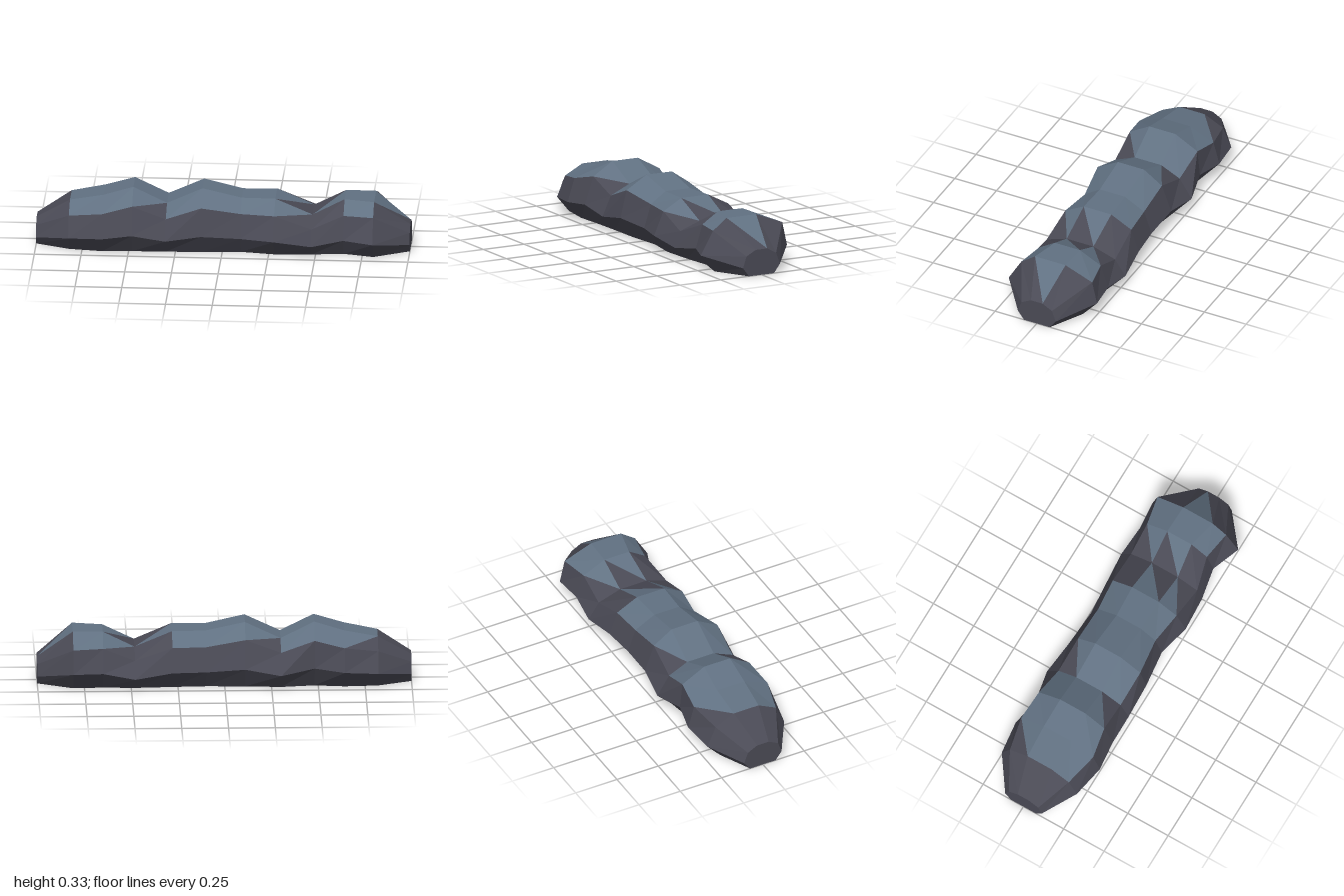
import * as THREE from 'three';

// Ridge stations: x, crest height, crest/shoulder/widest z at front, then at back
const STATIONS = [
  [-1.0, 0.14, 0.035, 0.092, 0.113, -0.035, -0.09, -0.113],
  [-0.82, 0.25, 0.07, 0.175, 0.225, -0.08, -0.19, -0.24],
  [-0.64, 0.285, 0.08, 0.22, 0.262, -0.085, -0.225, -0.26],
  [-0.48, 0.333, 0.078, 0.195, 0.247, -0.078, -0.21, -0.225],
  [-0.3, 0.245, 0.075, 0.19, 0.24, -0.085, -0.195, -0.266],
  [-0.11, 0.333, 0.078, 0.2, 0.237, -0.078, -0.185, -0.24],
  [0.1, 0.285, 0.08, 0.17, 0.21, -0.07, -0.185, -0.23],
  [0.28, 0.285, 0.085, 0.195, 0.252, -0.08, -0.2, -0.245],
  [0.48, 0.2, 0.085, 0.205, 0.235, -0.075, -0.205, -0.266],
  [0.65, 0.285, 0.07, 0.165, 0.205, -0.08, -0.205, -0.25],
  [0.81, 0.285, 0.107, 0.19, 0.265, -0.075, -0.235, -0.264],
  [1.0, 0.14, 0.035, 0.092, 0.113, -0.035, -0.09, -0.113],
];
const LIGHT_HEIGHT = 0.234; // facets centred above this are pale rock

// Eight-sided section, from the front foot over the crest to the back foot
function section([x, h, cf, sf, wf, cb, sb, wb]) {
  return [
    [0, wf * 0.68], [0.338, wf], [0.785, sf], [1, cf],
    [1, cb], [0.785, sb], [0.338, wb], [0, wb * 0.68],
  ].map(([y, z]) => new THREE.Vector3(x, y * h, z));
}

function facetMesh(triangles, material, name) {
  const geometry = new THREE.BufferGeometry().setFromPoints(triangles.flat());
  geometry.computeVertexNormals();
  const mesh = new THREE.Mesh(geometry, material);
  mesh.name = name;
  return mesh;
}

export function createModel() {
  const darkRock = new THREE.MeshStandardMaterial({ color: 0x4a4a55, flatShading: true });
  darkRock.name = 'dark rock';
  const paleRock = new THREE.MeshStandardMaterial({ color: 0x617182, flatShading: true });
  paleRock.name = 'pale rock';

  const rings = STATIONS.map(section);
  const triangles = [];

  // Skin between neighbouring sections, underside included
  for (let i = 0; i < rings.length - 1; i++) {
    const a = rings[i], b = rings[i + 1];
    for (let j = 0; j < 8; j++) {
      const k = (j + 1) % 8;
      triangles.push([a[j], b[j], b[k]], [a[j], b[k], a[k]]);
    }
  }

  // Flat ends
  const first = rings[0], last = rings[rings.length - 1];
  for (let j = 1; j < 7; j++) {
    triangles.push([first[0], first[j], first[j + 1]], [last[0], last[j + 1], last[j]]);
  }

  // Pale facets on the crests, dark ones elsewhere
  const isPale = ([p, q, r]) => (p.y + q.y + r.y) / 3 > LIGHT_HEIGHT;
  const group = new THREE.Group();
  group.name = 'rockRidge';
  group.add(
    facetMesh(triangles.filter((t) => !isPale(t)), darkRock, 'ridgeSlopes'),
    facetMesh(triangles.filter(isPale), paleRock, 'ridgeCrests'),
  );
  return group;
}
